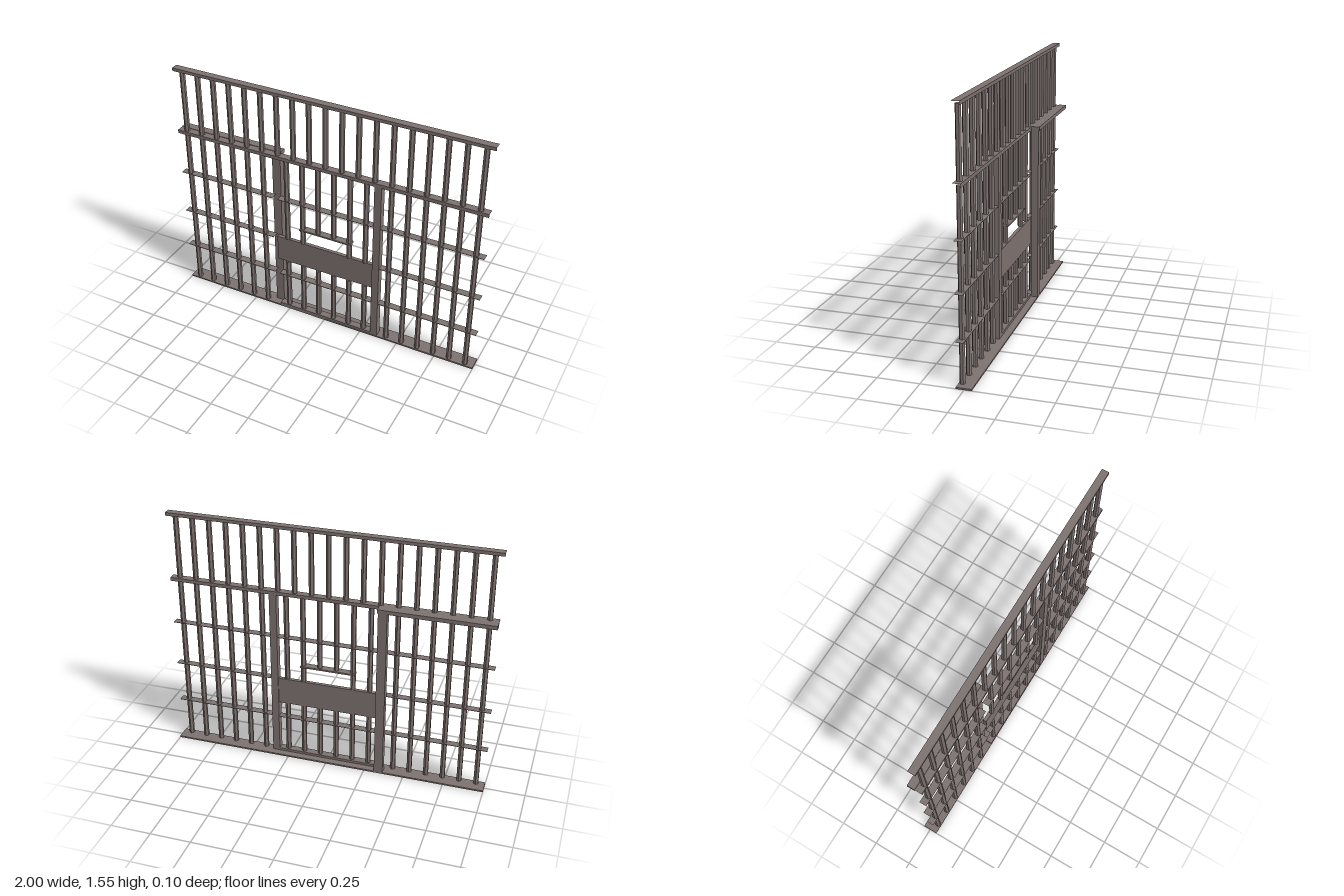
import * as THREE from 'three';

export function createModel() {
  const root = new THREE.Group();
  root.name = 'barredCellWall';
  const steel = new THREE.MeshStandardMaterial({ color: 0x7e7371 });
  steel.name = 'dull steel';

  const add = (geo, name, parent) => {
    const mesh = new THREE.Mesh(geo, steel);
    mesh.name = name;
    parent.add(mesh);
    return mesh;
  };

  // Box given by its limits; openEnds leaves off the two x faces
  const box = (name, parent, [x0, x1], [y0, y1], [z0, z1], openEnds = false) => {
    const geo = new THREE.BoxGeometry(x1 - x0, y1 - y0, z1 - z0);
    if (openEnds) geo.setIndex(Array.from(geo.index.array).slice(12));
    geo.translate((x0 + x1) / 2, (y0 + y1) / 2, (z0 + z1) / 2);
    return add(geo, name, parent);
  };

  // Six-sided upright bar with an edge facing the front
  const bar = (name, parent, x, y0, y1) => {
    const geo = new THREE.CylinderGeometry(0.0168, 0.0168, y1 - y0, 6).toNonIndexed();
    geo.computeVertexNormals();
    geo.translate(x, (y0 + y1) / 2, 0.026);
    return add(geo, name, parent);
  };

  const depth = [0.001, 0.046];
  const pitch = 0.105;

  // Thin flat strip threaded through the bars
  const strip = (name, parent, span, y) =>
    box(name, parent, span, [y - 0.0015, y + 0.0015], depth, true);

  const group = (name) => {
    const g = new THREE.Group();
    g.name = name;
    root.add(g);
    return g;
  };

  // Long horizontal rails, floor plate and posts
  const frame = group('frame');
  box('topRail', frame, [-1, 1], [1.535, 1.555], depth, true);
  box('middleRail', frame, [-1, 1], [1.114, 1.136], depth, true);
  box('floorPlate', frame, [-1, 1], [0, 0.01], [-0.043, 0.047]);
  box('doorTrackHousing', frame, [-1, -0.312], [1.114, 1.138], [-0.049, 0]);
  box('rearPost', frame, [-0.37, -0.315], [0.01, 1.114], [-0.043, 0]);
  box('frontPost', frame, [0.32, 0.365], [0.01, 1.114], depth);

  // Bars above the middle rail
  const upper = group('upperBars');
  for (let i = -9; i <= 9; i++) bar('upperBar', upper, i * pitch, 1.136, 1.535);

  // Fixed panels on both sides of the door
  for (const side of [-1, 1]) {
    const panel = group(side < 0 ? 'rightPanel' : 'leftPanel');
    for (let i = 4; i <= 9; i++) bar('panelBar', panel, side * i * pitch, 0.01, 1.114);
    const span = side < 0 ? [-1, -0.35] : [0.365, 1];
    for (const y of [0.268, 0.538, 0.83]) strip('crossStrip', panel, span, y);
  }

  // Door: sill, lock plate, bars and serving shelf
  const door = group('door');
  box('doorSill', door, [-0.315, 0.32], [0.01, 0.026], depth);
  box('lockPlate', door, [-0.333, 0.32], [0.368, 0.542], [0.008, 0.03]);
  for (let i = 0; i < 6; i++) {
    const x = 0.003 + (i - 2.5) * pitch;
    const middle = i === 2 || i === 3;
    bar('doorLowerBar', door, x, 0.026, 0.368);
    bar('doorUpperBar', door, x, middle ? 0.65 : 0.542, 1.114);
  }
  box('servingShelf', door, [-0.17, 0.175], [0.645, 0.655], depth);
  for (const y of [0.265, 0.83]) strip('doorCrossStrip', door, [-0.315, 0.32], y);

  return root;
}
